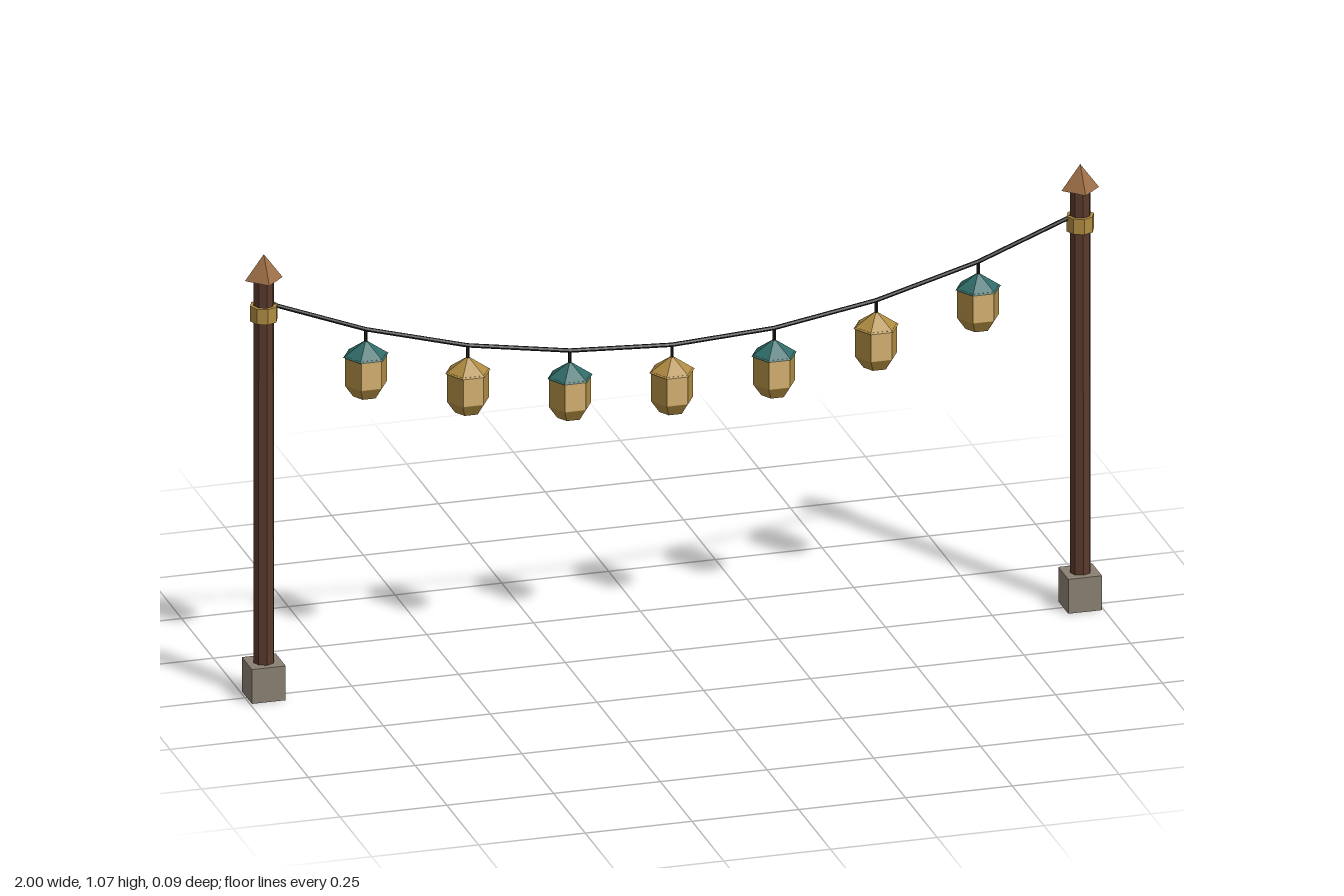
import * as THREE from 'three';

const material = (name, color) => {
  const m = new THREE.MeshStandardMaterial({ color, flatShading: true });
  m.name = name;
  return m;
};

export function createModel() {
  const stone = material('stone', 0x8a8072);
  const wood = material('dark wood', 0x5a3a2c);
  const copper = material('copper', 0x9f7048);
  const brass = material('brass', 0xb08c42);
  const teal = material('teal', 0x2f6c69);
  const glow = material('lantern glow', 0xd4b072);
  const cord = material('cord', 0x1e1c1a);

  const model = new THREE.Group();
  model.name = 'lanternGarland';

  const add = (parent, name, geometry, mat, x = 0, y = 0, z = 0) => {
    const mesh = new THREE.Mesh(geometry, mat);
    mesh.name = name;
    mesh.position.set(x, y, z);
    parent.add(mesh);
    return mesh;
  };
  // Prism standing between two heights
  const prism = (rTop, rBottom, y0, y1, sides) =>
    new THREE.CylinderGeometry(rTop, rBottom, y1 - y0, sides).translate(0, (y0 + y1) / 2, 0);
  // Six-sided prism with a flat side facing the front
  const hex = (rTop, rBottom, y0, y1) => prism(rTop, rBottom, y0, y1, 6).rotateY(Math.PI / 6);

  // Posts
  const postX = 0.956;
  for (const side of [-1, 1]) {
    const post = new THREE.Group();
    post.name = side > 0 ? 'leftPost' : 'rightPost';
    post.position.x = side * postX;
    add(post, 'base', new THREE.BoxGeometry(0.079, 0.083, 0.079), stone, 0, 0.0415, 0);
    add(post, 'pole', prism(0.0235, 0.0245, 0.04, 1.022, 8), wood);
    add(post, 'band', prism(0.032, 0.032, 0.909, 0.946, 8), brass);
    add(post, 'cap', prism(0, 0.044, 1.008, 1.068, 4), copper);
    model.add(post);
  }

  // Sagging cord, straight between hanging points
  const segments = 8;
  const points = Array.from({ length: segments + 1 }, (_, i) => {
    const t = (2 * i) / segments - 1;
    return new THREE.Vector3(t * postX, 0.74 + 0.212 * t * t, 0);
  });
  for (let i = 0; i < segments; i++) {
    const span = new THREE.LineCurve3(points[i], points[i + 1]);
    add(model, 'cordSpan', new THREE.TubeGeometry(span, 1, 0.005, 6), cord);
  }

  // Lanterns, measured downward from the cord
  const hangerShape = prism(0.004, 0.004, -0.04, 0, 6);
  const roofShape = hex(0, 0.053, -0.063, -0.026);
  const bodyShape = hex(0.049, 0.049, -0.131, -0.06);
  const bottomShape = hex(0.049, 0.03, -0.159, -0.131);
  const paneShape = new THREE.BoxGeometry(0.047, 0.066, 0.003);
  for (let i = 1; i < segments; i++) {
    const lantern = new THREE.Group();
    lantern.name = 'lantern';
    lantern.position.copy(points[i]);
    add(lantern, 'hanger', hangerShape, cord);
    add(lantern, 'roof', roofShape, i % 2 ? teal : brass);
    add(lantern, 'body', bodyShape, brass);
    add(lantern, 'bottom', bottomShape, brass);
    add(lantern, 'frontPane', paneShape, glow, 0, -0.0965, 0.0425);
    model.add(lantern);
  }
  return model;
}
